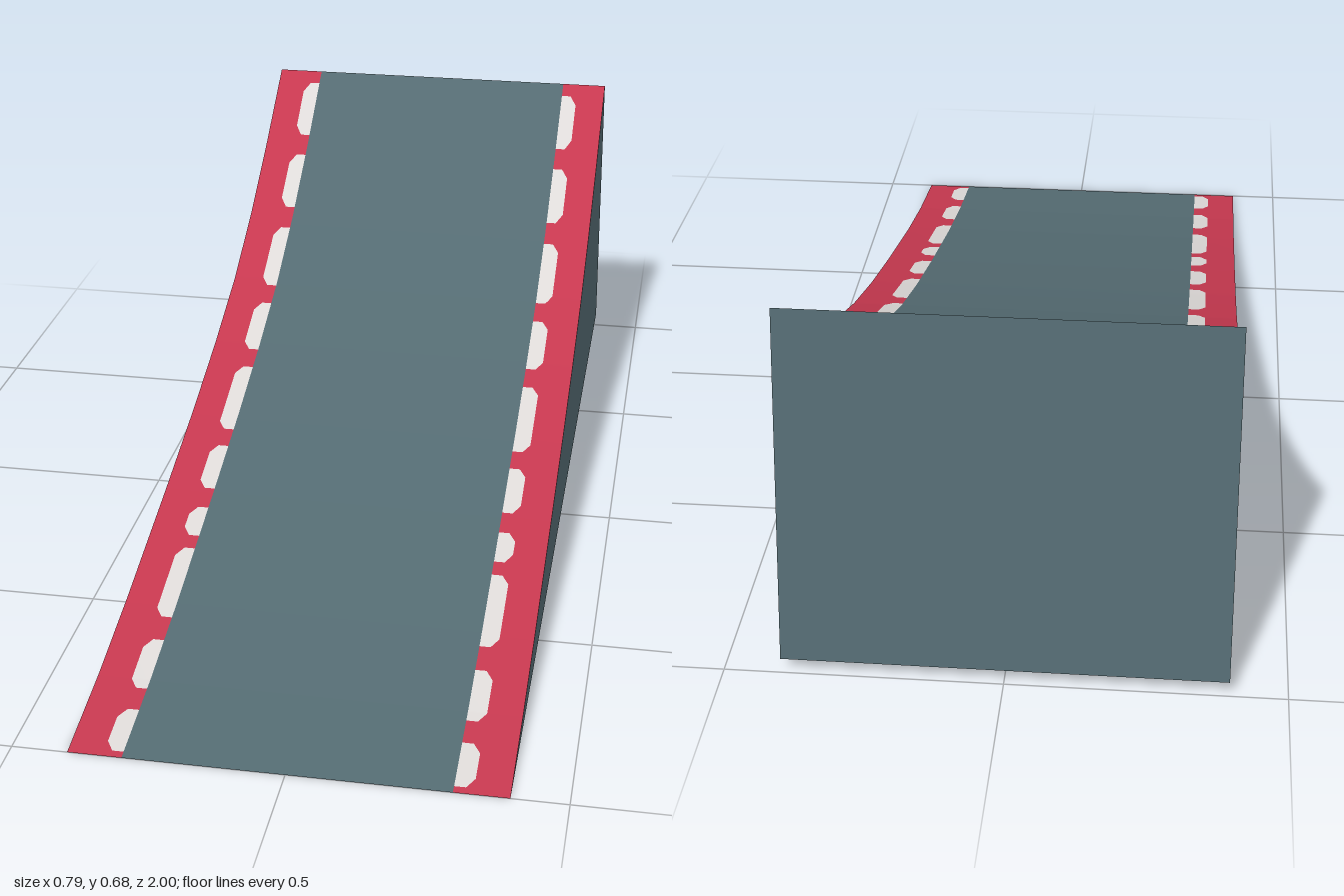
import * as THREE from 'three';
import { mergeVertices } from 'three/addons/utils/BufferGeometryUtils.js';

const HALF = 0.397, INNER = 0.297, DASH = 0.332;

// ramp curve as [z, y], from the high back lip to the front tip
const curve = [[-0.89, 0.68], [-0.7, 0.55], [-0.52, 0.44], [-0.34, 0.35], [-0.15, 0.28],
  [0.06, 0.215], [0.3, 0.15], [0.6, 0.075], [0.8, 0.032], [1, 0]];
// worn edge-line dashes as [start z, end z]
const dashes = [[-0.86, -0.73], [-0.68, -0.545], [-0.49, -0.33], [-0.275, -0.135], [-0.08, 0.11],
  [0.16, 0.285], [0.34, 0.42], [0.455, 0.64], [0.70, 0.825], [0.88, 0.985]];

const topY = (z) => {
  let i = 0;
  while (i < curve.length - 2 && z > curve[i + 1][0]) i++;
  const [a, b] = [curve[i], curve[i + 1]];
  return a[1] + (b[1] - a[1]) * (z - a[0]) / (b[0] - a[0]);
};
const baseY = (z) => 0.015 * (1 - z);

// outer edge of a dash, with clipped corners
const dashEdge = ([a, b], z) => DASH - 0.014 * Math.max(0, 1 - Math.min(z - a, b - z) / 0.022);

// collects quads lying on a surface y(z), facing up or down
function sheet(yAt, up) {
  const pos = [];
  return {
    quad(z0, z1, l0, r0, l1, r1) {
      const p = [[l0, z0], [l1, z1], [r1, z1], [r0, z0]];
      const order = up ? [0, 1, 2, 0, 2, 3] : [0, 2, 1, 0, 3, 2];
      for (const k of order) pos.push(p[k][0], yAt(p[k][1]), p[k][1]);
    },
    geometry() {
      let g = new THREE.BufferGeometry();
      g.setAttribute('position', new THREE.Float32BufferAttribute(pos, 3));
      g = mergeVertices(g);
      g.computeVertexNormals();
      return g;
    },
  };
}

export function createModel() {
  const grey = new THREE.MeshStandardMaterial({ color: 0x546b72 });
  grey.name = 'slate grey';
  const red = new THREE.MeshStandardMaterial({ color: 0xc6384f });
  red.name = 'crimson';
  const white = new THREE.MeshStandardMaterial({ color: 0xdedad8 });
  white.name = 'off white';

  const model = new THREE.Group();
  model.name = 'ramp';
  const add = (name, geometry, material) => {
    const mesh = new THREE.Mesh(geometry, material);
    mesh.name = name;
    model.add(mesh);
  };

  // striped faces: the curved deck and the flat underside
  function stripedFace(name, yAt, up, zStart) {
    const deck = sheet(yAt, up), border = sheet(yAt, up), line = sheet(yAt, up);
    const rows = [zStart, ...curve.map((c) => c[0])];
    for (const [a, b] of dashes) rows.push(a, a + 0.022, b - 0.022, b);
    const zs = [...new Set(rows)].sort((p, q) => p - q);
    for (let i = 0; i < zs.length - 1; i++) {
      const z0 = zs[i], z1 = zs[i + 1], mid = (z0 + z1) / 2;
      deck.quad(z0, z1, -INNER, INNER, -INNER, INNER);
      const dash = dashes.find(([a, b]) => mid > a && mid < b);
      const e0 = dash ? dashEdge(dash, z0) : INNER;
      const e1 = dash ? dashEdge(dash, z1) : INNER;
      border.quad(z0, z1, e0, HALF, e1, HALF);
      border.quad(z0, z1, -HALF, -e0, -HALF, -e1);
      if (dash) {
        line.quad(z0, z1, INNER, e0, INNER, e1);
        line.quad(z0, z1, -e0, -INNER, -e1, -INNER);
      }
    }
    add(name, deck.geometry(), grey);
    add(name + 'Borders', border.geometry(), red);
    add(name + 'Dashes', line.geometry(), white);
  }
  stripedFace('deck', topY, true, curve[0][0]);
  stripedFace('underside', baseY, false, -1);

  // side walls
  for (const s of [1, -1]) {
    const outline = [[-1, baseY(-1)], ...curve].map(([z, y]) => new THREE.Vector2(-s * z, y));
    const g = new THREE.ShapeGeometry(new THREE.Shape(outline));
    g.rotateY(s * Math.PI / 2).translate(s * HALF, 0, 0);
    add(s > 0 ? 'leftWall' : 'rightWall', g, grey);
  }

  // leaning back wall
  const [lipZ, lipY] = curve[0];
  const back = new THREE.PlaneGeometry(2 * HALF, Math.hypot(lipY - baseY(-1), lipZ + 1));
  back.rotateY(Math.PI);
  back.rotateX(Math.atan2(lipZ + 1, lipY - baseY(-1)));
  back.translate(0, (lipY + baseY(-1)) / 2, (lipZ - 1) / 2);
  add('backWall', back, grey);

  return model;
}
